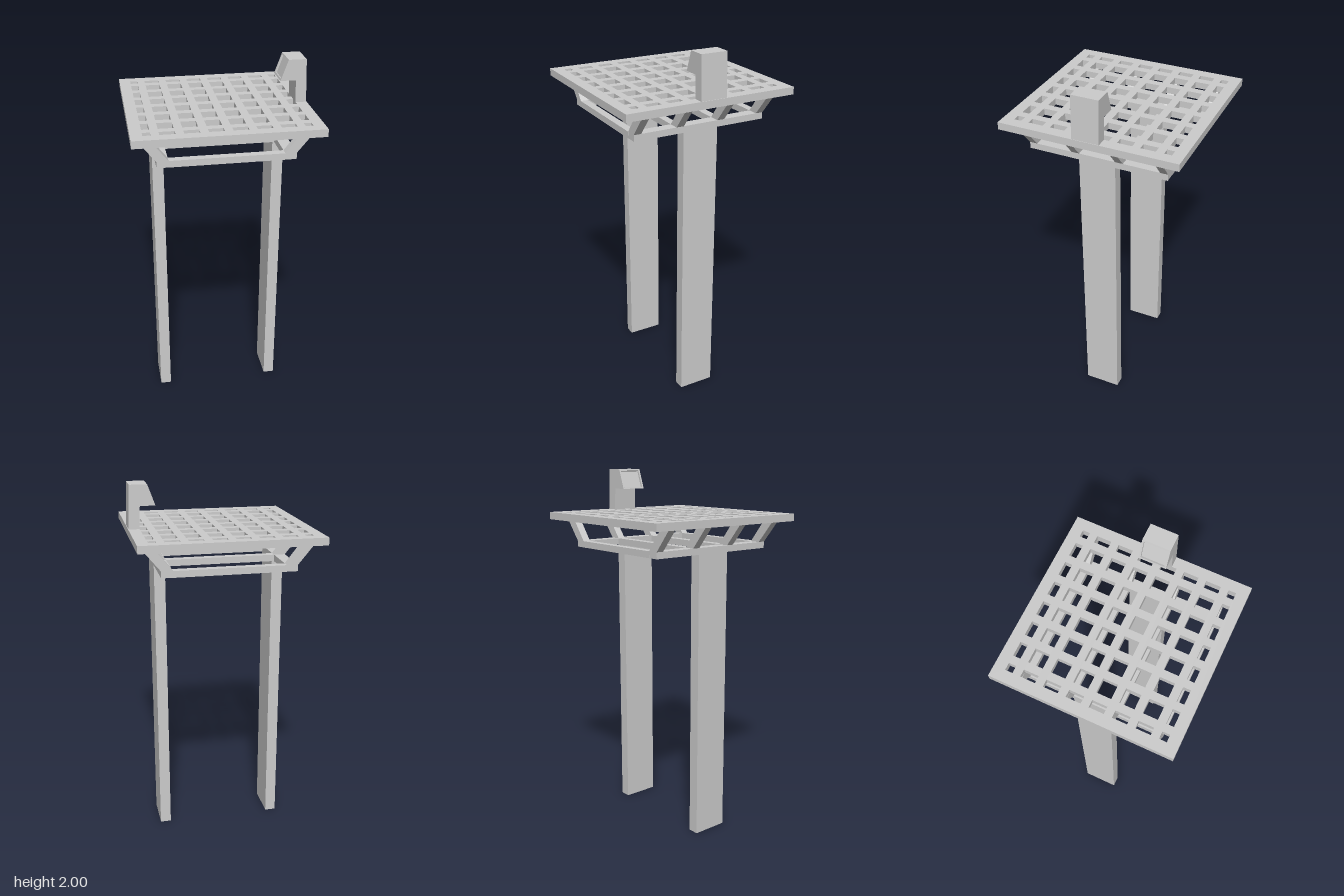
import * as THREE from 'three';

const material = new THREE.MeshStandardMaterial({ color: 0xcccccc, flatShading: true });

export function createModel() {
  const model = new THREE.Group();

  const add = (name, geometry) => {
    const mesh = new THREE.Mesh(geometry, material);
    mesh.name = name;
    model.add(mesh);
    return mesh;
  };
  // box given by its min and max corners
  const box = (name, x0, x1, y0, y1, z0, z1) =>
    add(name, new THREE.BoxGeometry(x1 - x0, y1 - y0, z1 - z0)
      .translate((x0 + x1) / 2, (y0 + y1) / 2, (z0 + z1) / 2));
  const points = (list) => list.map(([x, y]) => new THREE.Vector2(x, y));
  // profile in the xy plane, extruded from z0 to z1
  const prism = (name, list, z0, z1) =>
    add(name, new THREE.ExtrudeGeometry(new THREE.Shape(points(list)),
      { depth: z1 - z0, bevelEnabled: false }).translate(0, 0, z0));
  const rect = (x0, x1, y0, y1) => points([[x0, y0], [x1, y0], [x1, y1], [x0, y1]]);
  // horizontal plate with rectangular holes
  const plate = (name, half, holes, y0, y1) => {
    const shape = new THREE.Shape(rect(-half, half, -half, half));
    holes.forEach((h) => shape.holes.push(new THREE.Path(rect(...h))));
    add(name, new THREE.ExtrudeGeometry(shape, { depth: y1 - y0, bevelEnabled: false })
      .rotateX(-Math.PI / 2).translate(0, y0, 0));
  };

  // table top: outer rim and square grating
  const inner = 0.42;
  plate('topRim', 0.48, [[-inner, inner, -inner, inner]], 1.73, 1.77);
  const gaps = [];
  let edge = -inner;
  for (let i = -3; i <= 3; i++) {
    gaps.push([edge, i * 0.12 - 0.021]);
    edge = i * 0.12 + 0.021;
  }
  gaps.push([edge, inner]);
  const holes = [];
  for (const a of gaps) for (const b of gaps) holes.push([...a, ...b]);
  plate('grating', inner, holes, 1.735, 1.77);

  // legs and the side beams resting on them
  for (const s of [-1, 1]) {
    const x = s * 0.325;
    box('leg', x - 0.03, x + 0.03, 0, 1.58, -0.1, 0.1);
    box('sideBeam', x - 0.03, x + 0.03, 1.58, 1.615, -0.38, 0.38);
  }

  // cross beams with slanted struts carrying the top
  for (const z of [-0.36, -0.12, 0.12, 0.36]) {
    box('crossBeam', -0.295, 0.295, 1.58, 1.615, z - 0.021, z + 0.021);
    for (const s of [-1, 1]) {
      prism('strut', [[0.295, 1.615], [0.355, 1.615], [0.45, 1.73], [0.385, 1.73]]
        .map(([x, y]) => [s * x, y]), z - 0.021, z + 0.021);
    }
  }

  // control head: bent post whose slanted face holds a recessed screen
  const back = [[0.333, 1.89], [0.415, 1.89], [0.42, 1.77], [0.477, 1.77], [0.468, 2], [0.373, 2]];
  const notch = [[0.37, 1.991], [0.379, 1.987], [0.346, 1.895], [0.336, 1.899]];
  prism('controlHead', [...back, ...notch], -0.063, 0.063);
  prism('controlHeadCheek', back, 0.063, 0.073);
  prism('controlHeadCheek', back, -0.073, -0.063);

  return model;
}
